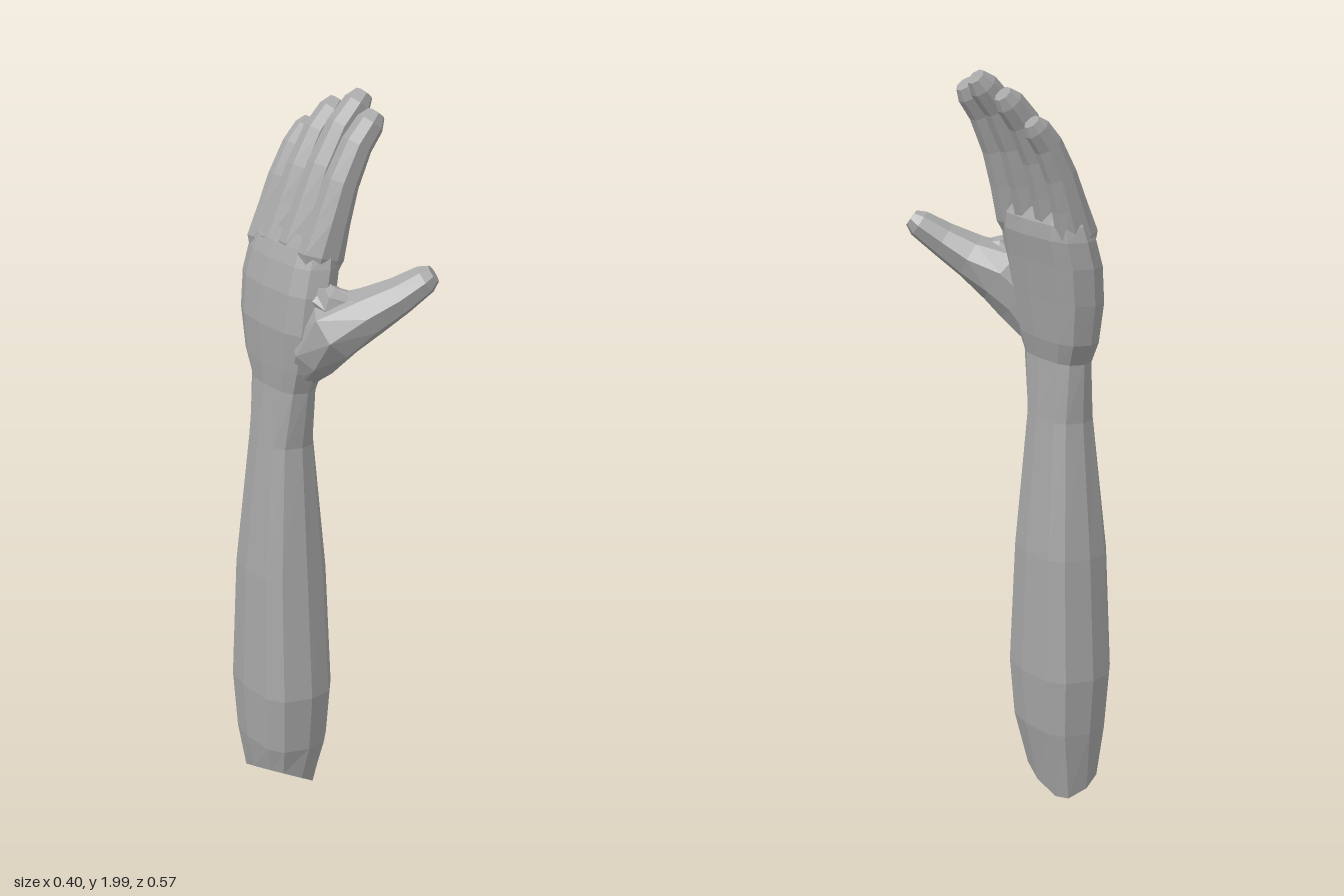
import * as THREE from 'three';

const V = (x, y, z) => new THREE.Vector3(x, y, z);
const material = new THREE.MeshStandardMaterial({ color: 0xa6a6a6, flatShading: true });

// Skin a list of equal-sized rings and close both ends
function loft(name, rings) {
  const n = rings[0].length, pos = [], idx = [];
  rings.forEach(r => r.forEach(p => pos.push(p.x, p.y, p.z)));
  for (let i = 0; i < rings.length - 1; i++)
    for (let j = 0; j < n; j++) {
      const a = i * n + j, b = i * n + (j + 1) % n;
      idx.push(a, a + n, b, b, a + n, b + n);
    }
  const last = (rings.length - 1) * n;
  for (let j = 1; j < n - 1; j++) {
    idx.push(0, j, j + 1);
    idx.push(last, last + j + 1, last + j);
  }
  const geo = new THREE.BufferGeometry();
  geo.setAttribute('position', new THREE.Float32BufferAttribute(pos, 3));
  geo.setIndex(idx);
  geo.computeVertexNormals();
  const mesh = new THREE.Mesh(geo, material);
  mesh.name = name;
  return mesh;
}

// Horizontal oval section spanning the given x and z limits, fuller on one diagonal
function oval([y, x0, x1, z0, z1], n = 12) {
  return Array.from({ length: n }, (_, j) => {
    const a = j / n * Math.PI * 2, c = Math.cos(a), s = Math.sin(a);
    const power = c * s < -0.01 ? 0.62 : 0.92;
    const soft = t => Math.abs(t) < 0.01 ? 0 : Math.sign(t) * Math.abs(t) ** power;
    return V((x0 + x1) / 2 + (x1 - x0) / 2 * soft(c), y, (z0 + z1) / 2 + (z1 - z0) / 2 * soft(s));
  });
}

// Tapered limb along a path; radii are [thickness, width] per point
function limb(name, path, radii, n = 8) {
  const rings = path.map((c, i) => {
    const t = path[Math.min(i + 1, path.length - 1)].clone().sub(path[Math.max(i - 1, 0)]).normalize();
    const v = V(0, 0, 1).addScaledVector(t, -t.z).normalize();
    const u = t.clone().cross(v);
    return Array.from({ length: n }, (_, j) => {
      const a = (j + 0.5) / n * Math.PI * 2;
      return c.clone().addScaledVector(u, radii[i][0] * Math.cos(a) * 1.05)
        .addScaledVector(v, radii[i][1] * Math.sin(a) * 1.05);
    });
  });
  return loft(name, rings);
}

export function createModel() {
  const model = new THREE.Group();
  model.name = 'armAndHand';

  // Forearm, with an obliquely cut lower end
  const cut = oval([0, -0.17, -0.01, -0.205, 0.05]);
  cut.forEach(p => { p.y = Math.max(0, -0.5 * (p.x + 0.02) + 0.3 * (p.z + 0.17)); });
  const wrist = [1.23, -0.13, -0.01, -0.21, 0.055];
  model.add(loft('forearm', [cut, ...[
    [0.2, -0.19, 0.03, -0.235, 0.075],
    [0.36, -0.2, 0.042, -0.252, 0.09],
    [0.7, -0.185, 0.035, -0.237, 0.06],
    [1.07, -0.147, 0, -0.2, 0.03],
    wrist,
  ].map(s => oval(s))]));

  // Palm, rounding over between the knuckles
  model.add(loft('palm', [
    wrist,
    [1.29, -0.135, 0.005, -0.248, 0.08],
    [1.4, -0.14, 0.02, -0.275, 0.11],
    [1.5, -0.127, 0.035, -0.288, 0.11],
    [1.57, -0.105, 0.048, -0.286, 0.1],
    [1.61, -0.085, 0.045, -0.277, 0.088],
    [1.64, -0.06, 0.025, -0.262, 0.07],
  ].map(s => oval(s))));

  // Four fingers sharing one curl, scaled in height and reach
  const curl = [[-0.045, 1.5], [-0.025, 1.6], [0.01, 1.7], [0.047, 1.8], [0.1, 1.9], [0.147, 1.955], [0.17, 1.98]];
  const thick = [0.03, 0.062, 0.052, 0.046, 0.041, 0.037, 0.024];
  const taper = [0.5, 1.1, 1.06, 1, 0.93, 0.87, 0.58];
  const fingers = [
    // name, height, reach, base z, tip z, half width
    ['indexFinger', 0.935, 0.86, 0.047, 0.042, 0.042],
    ['middleFinger', 1, 1, -0.057, -0.064, 0.042],
    ['ringFinger', 0.93, 0.9, -0.155, -0.164, 0.039],
    ['littleFinger', 0.8, 0.73, -0.237, -0.247, 0.032],
  ];
  for (const [name, h, reach, z0, z1, w] of fingers) {
    const path = curl.map(([x, y], i) =>
      V(-0.03 + (x + 0.03) * reach, 1.5 + (y - 1.5) * h, z0 + (z1 - z0) * i / 6));
    model.add(limb(name, path, thick.map((t, i) => [t * (0.6 + 0.4 * w / 0.042), w * taper[i]])));
  }

  // Thumb, broad at the ball, narrowing to the tip
  model.add(limb('thumb', [
    V(-0.068, 1.25, 0), V(-0.052, 1.345, 0.055), V(-0.02, 1.42, 0.11),
    V(0.05, 1.468, 0.172), V(0.11, 1.512, 0.217), V(0.165, 1.555, 0.25), V(0.182, 1.57, 0.262),
  ], [[0.03, 0.03], [0.07, 0.08], [0.082, 0.095], [0.06, 0.072], [0.046, 0.056], [0.036, 0.042], [0.023, 0.026]]));

  // Web of skin between thumb and index finger
  model.add(limb('thumbWeb', [
    V(-0.05, 1.5, 0.04), V(-0.025, 1.48, 0.11), V(0.04, 1.47, 0.165),
  ], [[0.05, 0.05], [0.045, 0.05], [0.035, 0.035]]));

  return model;
}
